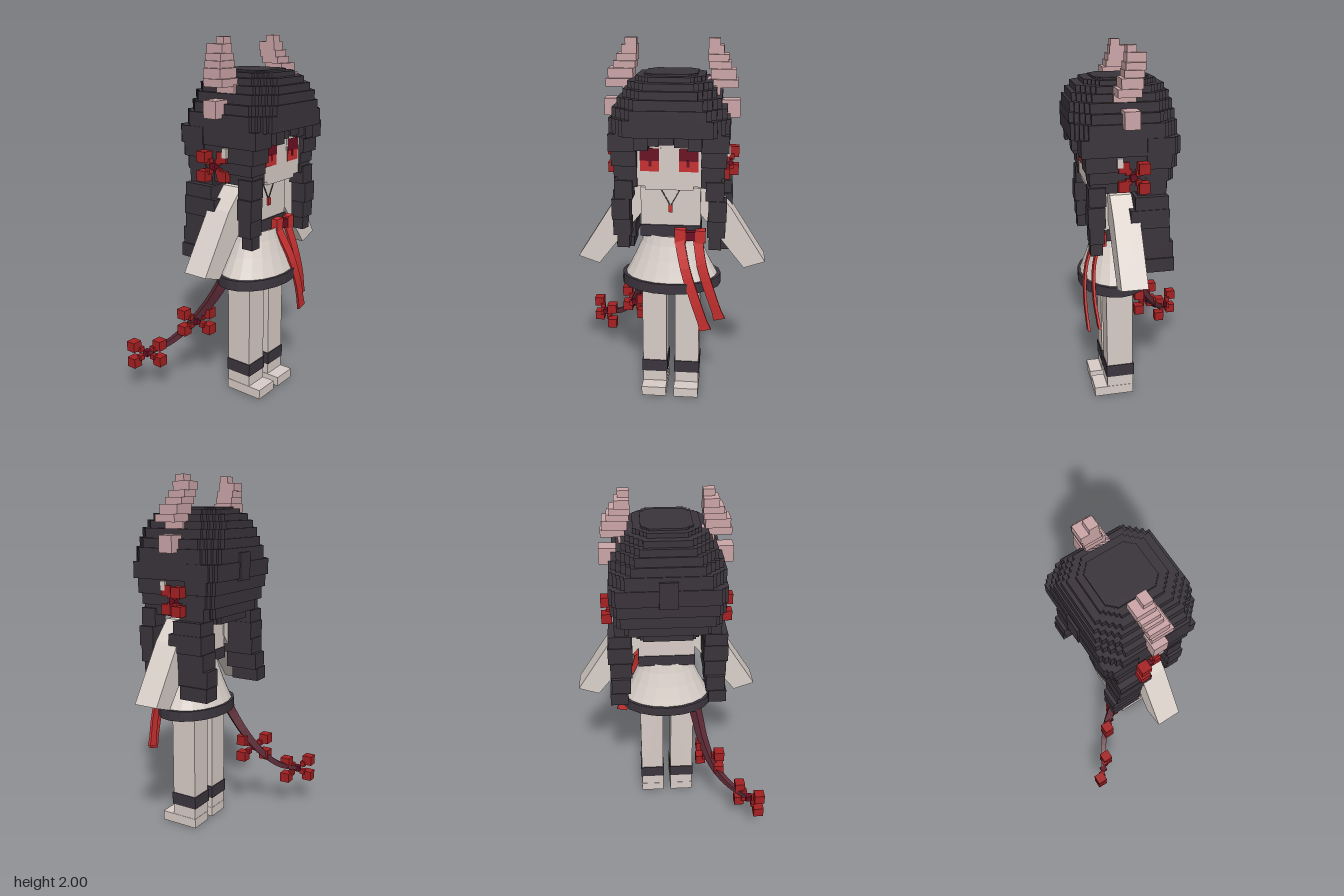
import * as THREE from 'three';

const mat = (name, color, side = THREE.FrontSide) => {
  const m = new THREE.MeshStandardMaterial({ color, side, flatShading: true });
  m.name = name;
  return m;
};

export function createModel() {
  const skin = mat('pale skin', 0xd8ccc6);
  const cloth = mat('pale cloth', 0xdad0ca, THREE.DoubleSide);
  const hair = mat('charcoal hair', 0x3a343b);
  const trim = mat('dark trim', 0x3b353d, THREE.DoubleSide);
  const horn = mat('dusty pink horn', 0xcba5a7);
  const red = mat('flower red', 0xa52022);
  const bright = mat('ribbon red', 0xc83030);
  const crimson = mat('dark crimson', 0x6a0f22);
  const tailMat = mat('tail maroon', 0x5c2a36);

  const root = new THREE.Group();
  root.name = 'hornedGirl';
  const body = new THREE.Group();
  body.name = 'figure';
  body.position.x = 0.012;
  root.add(body);

  const add = (parent, name, geo, m) => {
    const mesh = new THREE.Mesh(geo, m);
    mesh.name = name;
    parent.add(mesh);
    return mesh;
  };
  // Box given by its limits on each axis
  const box = (parent, name, m, x0, x1, y0, y1, z0, z1) => {
    const g = new THREE.BoxGeometry(x1 - x0, y1 - y0, z1 - z0);
    g.translate((x0 + x1) / 2, (y0 + y1) / 2, (z0 + z1) / 2);
    return add(parent, name, g, m);
  };
  // Horizontal slab whose corners are cut as stairs
  const slab = (parent, name, m, hw, y0, y1, z0, z1, corner, steps = 3) => {
    const hz = (z1 - z0) / 2, s = corner / steps, pts = [];
    for (let i = 0; i < steps; i++) {
      pts.push([hw - i * s, hz - corner + i * s], [hw - (i + 1) * s, hz - corner + i * s]);
    }
    pts.push([hw - corner, hz]);
    const left = pts.map(([x, y]) => [-x, y]).reverse();
    const top = [...pts, ...left];
    const all = [...top, ...top.map(([x, y]) => [-x, -y])].map(p => new THREE.Vector2(...p));
    const g = new THREE.ExtrudeGeometry(new THREE.Shape(all), { depth: y1 - y0, bevelEnabled: false });
    g.rotateX(-Math.PI / 2).translate(0, y0, (z0 + z1) / 2);
    return add(parent, name, g, m);
  };
  // Four petals in a vertical plane around a small dark cross
  const flower = (parent, x, y, z, dx, dz) => {
    const f = new THREE.Group();
    f.name = 'flower';
    f.position.set(x, y, z);
    parent.add(f);
    for (const a of [-1, 1]) for (const b of [-1, 1]) {
      const p = add(f, 'petal', new THREE.BoxGeometry(0.057, 0.057, 0.057), red);
      p.position.set(a * dx, b * 0.05, a * dz);
      const c = add(f, 'petalStem', new THREE.BoxGeometry(0.03, 0.03, 0.03), red);
      c.position.set(a * dx * 0.5, b * 0.025, a * dz * 0.5);
    }
    add(f, 'flowerHeart', new THREE.BoxGeometry(0.035, 0.035, 0.035), crimson);
  };

  // Torso, neck, belt, head
  box(body, 'torso', skin, -0.16, 0.16, 1.0, 1.24, 0.05, 0.205);
  box(body, 'neck', skin, -0.045, 0.045, 1.23, 1.29, 0.08, 0.17);
  box(body, 'belt', trim, -0.163, 0.163, 0.965, 1.03, 0.045, 0.213);
  box(body, 'chin', skin, -0.125, 0.125, 1.25, 1.275, 0.0, 0.285);
  box(body, 'head', skin, -0.19, 0.19, 1.27, 1.62, -0.05, 0.288);

  // Necklace
  for (const s of [-1, 1]) {
    const cord = add(body, 'necklaceCord', new THREE.BoxGeometry(0.006, 0.1, 0.006), trim);
    cord.position.set(s * 0.026, 1.185, 0.206);
    cord.rotation.z = -s * 0.5;
  }
  box(body, 'pendant', bright, -0.011, 0.011, 1.105, 1.145, 0.203, 0.215);

  // Skirt with a dark hem
  const lathe = (name, pts, m) => {
    const g = new THREE.LatheGeometry(pts.map(p => new THREE.Vector2(...p)), 20);
    g.scale(1, 1, 0.71).translate(0, 0, 0.138);
    add(body, name, g, m);
  };
  lathe('skirt', [[0.262, 0.72], [0.235, 0.77], [0.2, 0.84], [0.165, 0.92], [0.148, 0.975]], cloth);
  lathe('skirtHem', [[0.255, 0.677], [0.277, 0.677], [0.275, 0.733], [0.25, 0.733]], trim);

  // Hair crown: stair-cornered layers [halfWidth, y0, y1, z0, z1, corner]
  const crown = [
    [0.135, 1.81, 1.835, -0.05, 0.24, 0.04], [0.175, 1.795, 1.825, -0.085, 0.29, 0.07],
    [0.215, 1.76, 1.8, -0.125, 0.335, 0.09], [0.235, 1.72, 1.765, -0.145, 0.36, 0.09],
    [0.262, 1.67, 1.725, -0.155, 0.375, 0.09], [0.29, 1.62, 1.675, -0.165, 0.383, 0.1],
    [0.305, 1.54, 1.625, -0.17, 0.38, 0.08],
  ];
  crown.forEach(([hw, y0, y1, z0, z1, c]) => slab(body, 'hairCrown', hair, hw, y0, y1, z0, z1, c, 4));

  // Back of the hair, tapering downward in rows
  [[0.31, 1.46, 1.55, -0.175], [0.305, 1.39, 1.465, -0.16], [0.29, 1.32, 1.395, -0.145],
    [0.25, 1.26, 1.325, -0.125], [0.17, 1.22, 1.265, -0.11]]
    .forEach(([hw, y0, y1, z0]) => slab(body, 'backHair', hair, hw, y0, y1, z0, 0.04, 0.035, 2));
  box(body, 'backTuft', hair, -0.05, 0.05, 1.45, 1.6, -0.183, -0.15);

  // Fringe across the forehead
  [[-0.17, -0.1, 1.475], [-0.1, -0.045, 1.495], [-0.045, 0.03, 1.505], [0.03, 0.1, 1.49], [0.1, 0.17, 1.475]]
    .forEach(([x0, x1, y], i) => box(body, 'fringe', hair, x0, x1, y, 1.56, 0.26, 0.37 - (i % 2) * 0.01));

  for (const s of [1, -1]) {
    const half = new THREE.Group();
    half.name = s > 0 ? 'leftSide' : 'rightSide';
    half.scale.x = s;
    body.add(half);

    // Leg with ankle band and shoe
    box(half, 'leg', skin, 0.024, 0.16, 0.04, 0.8, 0.05, 0.2);
    box(half, 'ankleBand', trim, 0.019, 0.165, 0.12, 0.192, 0.045, 0.205);
    box(half, 'foot', skin, 0.022, 0.162, 0, 0.055, 0.048, 0.275);

    // Arm, bent at the elbow
    const outline = [[0.15, 1.1], [0.255, 0.97], [0.4, 0.785], [0.515, 0.825], [0.322, 1.13], [0.22, 1.24], [0.15, 1.24]];
    const arm = new THREE.ExtrudeGeometry(new THREE.Shape(outline.map(p => new THREE.Vector2(...p))),
      { depth: 0.14, bevelEnabled: false });
    arm.translate(0, 0, 0.045);
    add(half, 'arm', arm, cloth);

    // Eye: lids, iris and pupil as thin plates
    box(half, 'eyeWhite', cloth, 0.042, 0.052, 1.41, 1.475, 0.287, 0.291);
    box(half, 'eyeUpper', crimson, 0.052, 0.15, 1.405, 1.47, 0.287, 0.292);
    box(half, 'eyeLower', bright, 0.052, 0.15, 1.35, 1.405, 0.287, 0.292);
    box(half, 'pupil', crimson, 0.09, 0.105, 1.375, 1.41, 0.29, 0.294);

    // Hair beside the face
    [[1.46, 1.55, 0.305, 0.34], [1.38, 1.465, 0.295, 0.318], [1.32, 1.385, 0.285, 0.3], [1.265, 1.325, 0.27, 0.295]]
      .forEach(([y0, y1, x1, z1]) => box(half, 'sideHair', hair, 0.165, x1, y0, y1, -0.06, z1));
    box(half, 'hairPin', skin, 0.28, 0.312, 1.405, 1.455, 0.13, 0.16);

    // Front lock: [y0, y1, x0, x1, z0, z1]
    [[1.2, 1.3, 0.19, 0.285, 0.215, 0.305], [1.09, 1.2, 0.205, 0.3, 0.222, 0.312],
      [1.0, 1.09, 0.2, 0.295, 0.228, 0.305], [0.93, 1.0, 0.21, 0.275, 0.235, 0.3]]
      .forEach(([y0, y1, x0, x1, z0, z1]) => box(half, 'frontLock', hair, x0, x1, y0, y1, z0, z1));

    // Back pigtail
    [[1.24, 1.34, 0.2, 0.29, -0.1, 0.05], [1.17, 1.25, 0.2, 0.325, -0.105, 0.07],
      [1.08, 1.18, 0.195, 0.33, -0.11, 0.095], [0.99, 1.085, 0.2, 0.32, -0.115, 0.085],
      [0.9, 0.995, 0.21, 0.315, -0.135, 0.06], [0.83, 0.905, 0.225, 0.325, -0.14, 0.03]]
      .forEach(([y0, y1, x0, x1, z0, z1]) => box(half, 'pigtail', hair, x0, x1, y0, y1, z0, z1));

    // Curved horn in stacked blocks, and the small horn stub below
    [[1.72, 1.77, 0.175, 0.25, 0.05, 0.165], [1.76, 1.8, 0.185, 0.34, 0.04, 0.16],
      [1.8, 1.85, 0.2, 0.33, 0.03, 0.14], [1.85, 1.885, 0.19, 0.305, 0.02, 0.12],
      [1.885, 1.92, 0.185, 0.29, 0.01, 0.11], [1.92, 1.965, 0.185, 0.265, 0, 0.1],
      [1.965, 2.0, 0.185, 0.245, 0.045, 0.095]]
      .forEach(([y0, y1, x0, x1, z0, z1]) => box(half, 'horn', horn, x0, x1, y0, y1, z0, z1));
    box(half, 'hornStub', horn, 0.26, 0.355, 1.605, 1.695, 0.05, 0.13);

    flower(half, 0.305, 1.355, 0.077, 0.024, -0.048);
  }

  // Sash bow with two trailing ribbons
  box(body, 'bowLeft', bright, 0.135, 0.19, 0.945, 1.015, 0.2, 0.25);
  box(body, 'bowRight', bright, 0.025, 0.085, 0.94, 1.02, 0.2, 0.25);
  box(body, 'bowKnot', crimson, 0.08, 0.14, 0.955, 1.005, 0.2, 0.245);
  const ribbon = (name, points) => {
    const path = new THREE.CatmullRomCurve3(points.map(p => new THREE.Vector3(...p)));
    const g = new THREE.BoxGeometry(0.05, 1, 0.014, 1, 10, 1);
    const pos = g.attributes.position;
    for (let i = 0; i < pos.count; i++) {
      const t = 0.5 - pos.getY(i), p = path.getPoint(t);
      const flare = t > 0.95 ? 1.25 : 1;
      pos.setXYZ(i, p.x + pos.getX(i) * flare, p.y + pos.getX(i) * 0.3, p.z + pos.getZ(i));
    }
    g.computeVertexNormals();
    add(body, name, g, bright);
  };
  ribbon('longRibbon', [[0.05, 0.96, 0.24], [0.09, 0.8, 0.3], [0.145, 0.63, 0.318], [0.2, 0.46, 0.31]]);
  ribbon('shortRibbon', [[0.15, 0.96, 0.235], [0.175, 0.82, 0.27], [0.225, 0.66, 0.278], [0.275, 0.505, 0.262]]);

  // Tail: a tapering square tube with two flowers
  const tailPath = new THREE.CatmullRomCurve3([[-0.13, 0.8, 0.07], [-0.175, 0.64, 0.01], [-0.21, 0.5, -0.07],
    [-0.27, 0.37, -0.16], [-0.36, 0.28, -0.235], [-0.467, 0.235, -0.305]].map(p => new THREE.Vector3(...p)));
  const tail = new THREE.TubeGeometry(tailPath, 20, 0.042, 4, false);
  const tp = tail.attributes.position;
  for (let i = 0; i < tp.count; i++) {
    const t = Math.floor(i / 5) / 20, c = tailPath.getPointAt(t);
    const v = new THREE.Vector3().fromBufferAttribute(tp, i).sub(c).multiplyScalar(1 - 0.6 * t).add(c);
    tp.setXYZ(i, v.x, v.y, v.z);
  }
  add(body, 'tail', tail, tailMat);
  flower(body, -0.247, 0.41, -0.115, 0.05, 0.05);
  flower(body, -0.467, 0.235, -0.305, 0.05, 0.052);

  return root;
}
